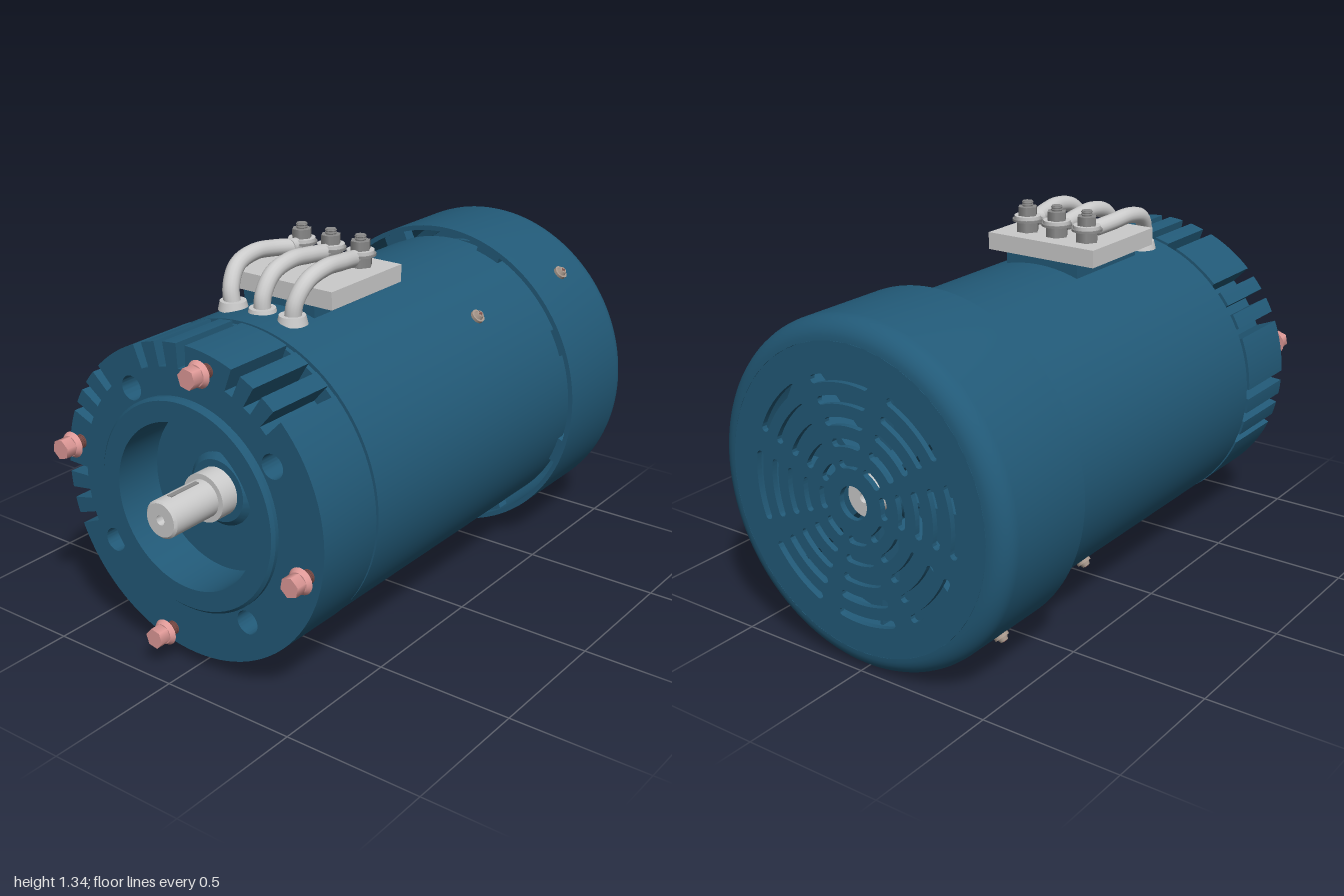
import * as THREE from 'three';
import { toCreasedNormals } from 'three/addons/utils/BufferGeometryUtils.js';

const mat = (color) => new THREE.MeshStandardMaterial({ color });
const blue = mat(0x225a78), grey = mat(0xcccccc), steel = mat(0x8c8c8c);
const pink = mat(0xe09a98), rust = mat(0x7a4a45), tan = mat(0xa8988c);
const AXIS = 0.603; // height of the shaft axis
const rad = THREE.MathUtils.degToRad;

function add(parent, name, geo, material, x = 0, y = 0, z = 0) {
  const m = new THREE.Mesh(geo, material);
  m.name = name;
  m.position.set(x, y, z);
  parent.add(m);
  return m;
}

// Turned part along x from [radius, x] pairs
function turned(pairs, segments = 96) {
  const g = new THREE.LatheGeometry(pairs.map(([r, x]) => new THREE.Vector2(r, x)), segments);
  return toCreasedNormals(g.rotateZ(-Math.PI / 2), rad(35));
}

// Shape in the plane across the axis, extruded from x0 to x1
function slab(shape, x0, x1) {
  const g = new THREE.ExtrudeGeometry(shape, { depth: x1 - x0, bevelEnabled: false, curveSegments: 24 });
  return toCreasedNormals(g.rotateY(Math.PI / 2).translate(x0, 0, 0), rad(35));
}

// Angles run from +y towards +z; in shape space that is 90 degrees plus the angle
const polar = (r, a) => [r * Math.cos(rad(90 + a)), r * Math.sin(rad(90 + a))];

function circle(r, cx = 0, cy = 0) {
  return new THREE.Path().absarc(cx, cy, r, 0, Math.PI * 2, true);
}

// Curved slot with round ends
function arcSlot(r, mid, half, w) {
  const a0 = rad(90 + mid - half), a1 = rad(90 + mid + half), p = new THREE.Path();
  p.absarc(0, 0, r + w, a0, a1, false);
  p.absarc(r * Math.cos(a1), r * Math.sin(a1), w, a1, a1 + Math.PI, false);
  p.absarc(0, 0, r - w, a1, a0, true);
  p.absarc(r * Math.cos(a0), r * Math.sin(a0), w, a0 + Math.PI, a0 + Math.PI * 2, false);
  return p;
}

// End bell outline with four groups of cooling notches, bore and pockets
function bellShape() {
  const R = 0.547, inner = 0.465, d = 2, s = new THREE.Shape();
  let from = -140;
  const start = from;
  s.moveTo(...polar(R, from));
  for (const group of [-101, -56, -11, 33]) {
    for (const off of [-10, 0, 10]) {
      const a = group + off;
      s.absarc(0, 0, R, rad(90 + from), rad(90 + a - d), false);
      s.lineTo(...polar(inner, a - d));
      s.lineTo(...polar(inner, a + d));
      s.lineTo(...polar(R, a + d));
      from = a + d;
    }
  }
  s.absarc(0, 0, R, rad(90 + from), rad(90 + start + 360), false);
  s.holes.push(circle(0.3));
  for (let k = 0; k < 4; k++) s.holes.push(circle(0.042, ...polar(0.42, -33.5 + 90 * k)));
  return s;
}

function hexBolt() {
  const g = new THREE.Group();
  g.name = 'mountingBolt';
  const along = (geo) => geo.rotateZ(Math.PI / 2);
  add(g, 'boltHead', along(new THREE.CylinderGeometry(0.036, 0.036, 0.05, 6).toNonIndexed()), pink, -0.935);
  add(g, 'boltFlange', along(new THREE.CylinderGeometry(0.036, 0.046, 0.016, 24)), pink, -0.912);
  add(g, 'boltShank', along(new THREE.CylinderGeometry(0.021, 0.021, 0.08, 16)), rust, -0.865);
  for (let i = 0; i < 4; i++)
    add(g, 'boltThread', new THREE.TorusGeometry(0.021, 0.004, 6, 16).rotateY(Math.PI / 2), rust, -0.9 + i * 0.012);
  return g;
}

function terminal(z) {
  const g = new THREE.Group();
  g.name = 'terminal';
  g.position.set(-0.09, 1.235, z);
  const disc = (name, r, h, y, n, m) => add(g, name, new THREE.CylinderGeometry(r, r, h, n), m, 0, y + h / 2, 0);
  disc('terminalBase', 0.042, 0.038, 0, 6, steel);
  disc('washer', 0.054, 0.008, 0.038, 24, steel);
  disc('lugRing', 0.048, 0.012, 0.046, 24, grey);
  disc('nut', 0.036, 0.032, 0.058, 6, steel);
  disc('stud', 0.018, 0.11, 0, 16, steel);
  for (let i = 0; i < 2; i++)
    add(g, 'studThread', new THREE.TorusGeometry(0.018, 0.003, 6, 16).rotateX(Math.PI / 2), steel, 0, 0.096 + i * 0.009);
  return g;
}

function cable(z, bow) {
  const g = new THREE.Group();
  g.name = 'cable';
  const pts = [[-0.46, 1.13, 0], [-0.455, 1.2, 0.4], [-0.405, 1.262, 0.9], [-0.31, 1.286, 1],
    [-0.22, 1.28, 0.7], [-0.14, 1.27, 0]].map(([x, y, k]) => new THREE.Vector3(x, y, z + bow * k));
  const curve = new THREE.CatmullRomCurve3(pts);
  add(g, 'wire', new THREE.TubeGeometry(curve, 40, 0.029, 16), grey);
  add(g, 'lugBarrel', new THREE.CylinderGeometry(0.024, 0.029, 0.05, 16).rotateZ(-Math.PI / 2), grey, -0.135, 1.272, z);
  add(g, 'grommet', new THREE.CylinderGeometry(0.045, 0.052, 0.03, 24), grey, -0.46, 1.145, z);
  return g;
}

// Button screw on the curved shell, with a cross recess
function shellScrew(x, r, a) {
  const g = new THREE.Group();
  g.name = 'shellScrew';
  add(g, 'screwWasher', new THREE.CylinderGeometry(0.026, 0.026, 0.012, 20), tan, 0, r);
  add(g, 'screwHead', new THREE.CylinderGeometry(0.013, 0.019, 0.014, 20), tan, 0, r + 0.012);
  for (const [w, d] of [[0.018, 0.004], [0.004, 0.018]])
    add(g, 'screwRecess', new THREE.BoxGeometry(w, 0.002, d), rust, 0, r + 0.0195);
  g.position.x = x;
  g.rotation.x = rad(a);
  return g;
}

export function createModel() {
  const model = new THREE.Group();
  model.name = 'electricMotor';
  const motor = new THREE.Group();
  motor.name = 'motor';
  motor.position.y = AXIS;
  model.add(motor);

  // Housing with a seam groove at the bell
  add(motor, 'housing', turned([[0, -0.6], [0.532, -0.6], [0.532, -0.583], [0.545, -0.583], [0.545, 0.64], [0.5, 0.66], [0, 0.66]]), blue);

  // Drive end bell
  add(motor, 'endBell', slab(bellShape(), -0.865, -0.598), blue);
  add(motor, 'pilotRing', turned([[0.29, -0.7], [0.29, -0.89], [0.36, -0.89], [0.37, -0.88], [0.37, -0.86]]), blue);
  add(motor, 'boreFloor', turned([[0.08, -0.73], [0.11, -0.73], [0.13, -0.71], [0.3, -0.71], [0.3, -0.69]]), blue);
  for (let k = 0; k < 4; k++) {
    const pivot = new THREE.Group();
    pivot.name = 'boltPosition';
    pivot.rotation.x = rad(11.5 + 90 * k);
    const bolt = hexBolt();
    bolt.position.y = 0.495;
    pivot.add(bolt);
    motor.add(pivot);
  }

  // Shaft with centre drillings and a key
  add(motor, 'shaft', turned([[0, -0.965], [0.017, -0.965], [0.017, -1], [0.058, -1], [0.066, -0.992], [0.066, -0.8],
    [0.085, -0.8], [0.085, -0.7], [0.065, -0.7], [0.065, 0.95], [0.017, 0.95], [0.017, 0.92], [0, 0.92]], 40), grey);
  add(motor, 'shaftKey', new THREE.BoxGeometry(0.13, 0.012, 0.018), steel, -0.89, 0.062, 0);

  // Fan behind the grille
  add(motor, 'fanDisc', turned([[0.065, 0.78], [0.5, 0.78], [0.5, 0.8], [0.12, 0.8], [0.1, 0.9], [0.065, 0.9]], 64), blue);
  for (let k = 0; k < 8; k++) {
    const blade = add(motor, 'fanBlade', new THREE.BoxGeometry(0.1, 0.36, 0.012).translate(0.84, 0.3, 0), blue);
    blade.rotation.x = k * Math.PI / 4;
  }

  // Fan cover: rounded shell and slotted grille
  const cover = new THREE.Group();
  cover.name = 'fanCover';
  cover.scale.z = 0.985;
  motor.add(cover);
  const arc = [];
  for (let i = 0; i <= 8; i++) {
    const t = (i / 8) * Math.PI / 2;
    arc.push([0.528 + 0.072 * Math.cos(t), 0.928 + 0.072 * Math.sin(t)]);
  }
  add(cover, 'coverShell', turned([[0.582, 0.58], [0.6, 0.58], ...arc, [0.528, 0.98], [0.565, 0.965], [0.582, 0.925], [0.582, 0.58]], 128), blue);
  const grille = new THREE.Shape().absarc(0, 0, 0.528, 0, Math.PI * 2, false);
  grille.holes.push(circle(0.058));
  for (let ring = 0; ring < 5; ring++)
    for (let k = 0; k < 8; k++) {
      const r = 0.13 + ring * 0.07;
      grille.holes.push(arcSlot(r, 5.5 + 45 * k, 17 - 0.8 / r, 0.014));
    }
  add(cover, 'grille', slab(grille, 0.98, 1), blue);
  for (let k = 0; k < 8; k++) {
    const spacer = add(cover, 'coverSpacer', new THREE.BoxGeometry(0.05, 0.05, 0.1).translate(0.63, 0.565, 0), blue);
    spacer.rotation.x = rad(20 + 45 * k);
  }

  // Screws on opposite sides of the shell
  for (const a of [42, -137]) {
    motor.add(shellScrew(0.255, 0.549, a));
    motor.add(shellScrew(0.78, 0.6, a));
  }

  // Terminal block, studs and cables
  add(model, 'terminalPad', new THREE.BoxGeometry(0.38, 0.07, 0.3), blue, -0.19, 1.14, -0.015);
  add(model, 'terminalBlock', new THREE.BoxGeometry(0.39, 0.062, 0.445), grey, -0.188, 1.204, -0.013);
  for (const [z, bow] of [[-0.145, -0.03], [-0.018, 0], [0.108, 0.02]]) {
    model.add(terminal(z));
    model.add(cable(z, bow));
  }
  return model;
}
